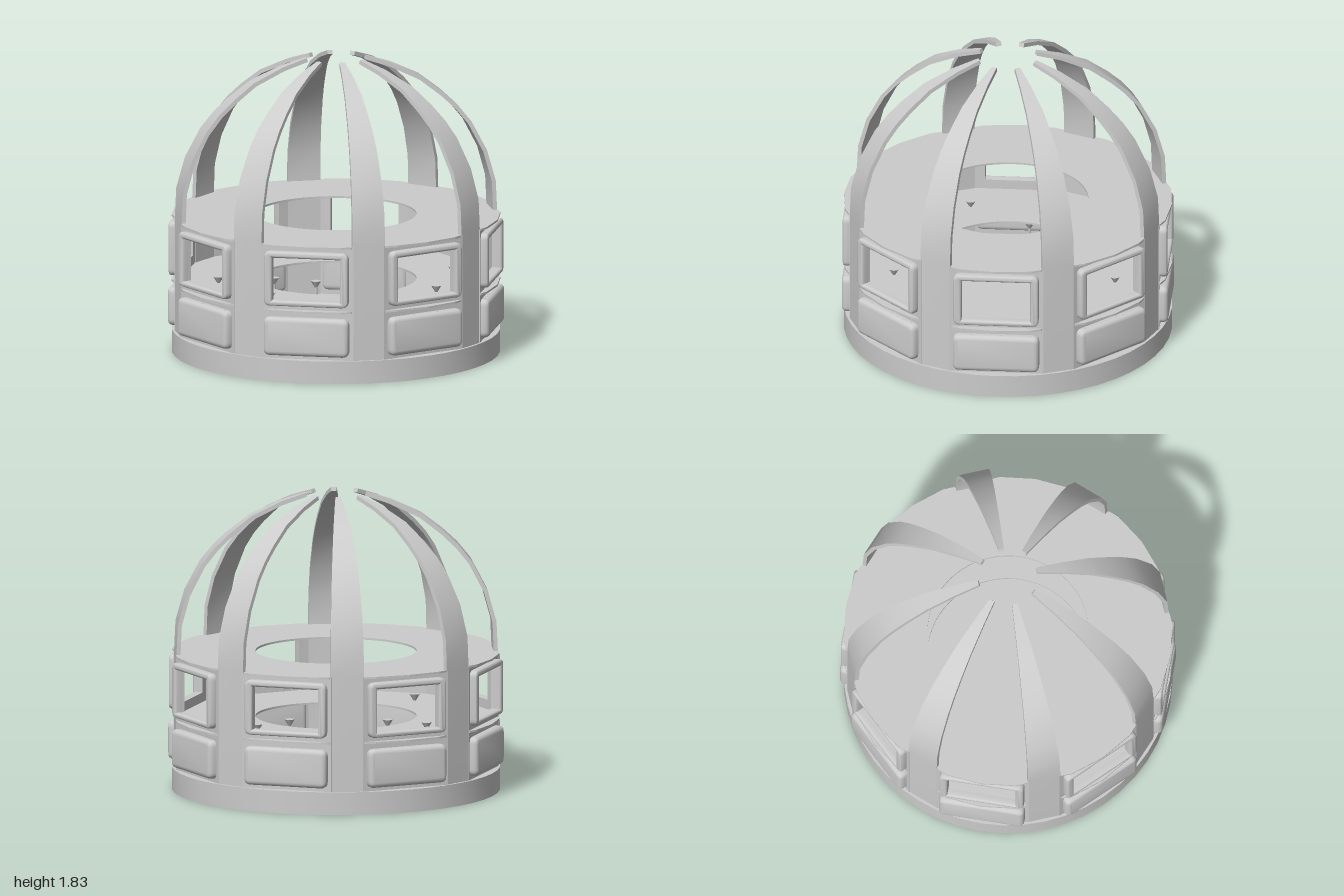
import * as THREE from 'three';
import { toCreasedNormals } from 'three/addons/utils/BufferGeometryUtils.js';

const SIDES = 8;
const STEP = (Math.PI * 2) / SIDES;
const FLOOR_HOLE = 0.49;

const material = new THREE.MeshStandardMaterial({ color: 0xcccccc, side: THREE.DoubleSide });

function part(name, geometry, parent) {
  const mesh = new THREE.Mesh(geometry, material);
  mesh.name = name;
  parent.add(mesh);
  return mesh;
}

// Rounded rectangle from half width and bottom/top heights
function roundedRect(target, hw, y0, y1, r) {
  target.moveTo(-hw + r, y0);
  target.lineTo(hw - r, y0);
  target.quadraticCurveTo(hw, y0, hw, y0 + r);
  target.lineTo(hw, y1 - r);
  target.quadraticCurveTo(hw, y1, hw - r, y1);
  target.lineTo(-hw + r, y1);
  target.quadraticCurveTo(-hw, y1, -hw, y1 - r);
  target.lineTo(-hw, y0 + r);
  target.quadraticCurveTo(-hw, y0, -hw + r, y0);
  return target;
}

function rect(target, hw, y0, y1) {
  target.moveTo(-hw, y0);
  target.lineTo(hw, y0);
  target.lineTo(hw, y1);
  target.lineTo(-hw, y1);
  target.closePath();
  return target;
}

function bevelled(shape, depth, size) {
  const g = new THREE.ExtrudeGeometry(shape, {
    depth: depth - size, bevelEnabled: true, bevelThickness: size, bevelSize: size,
    bevelOffset: -size, bevelSegments: 4, curveSegments: 5,
  });
  return toCreasedNormals(g, 0.6);
}

// Curved rib: rectangular section swept along a (radius, height) profile, tapering to the tip
function ribGeometry() {
  const profile = [
    [0.98, 0.13], [0.98, 0.85], [0.972, 1.03], [0.919, 1.22], [0.825, 1.4], [0.745, 1.5],
    [0.655, 1.585], [0.52, 1.69], [0.34, 1.775], [0.185, 1.825],
  ];
  const thickness = 0.025;
  const pos = [], index = [];
  profile.forEach(([r, y], i) => {
    const a = profile[Math.max(i - 1, 0)], b = profile[Math.min(i + 1, profile.length - 1)];
    const n = new THREE.Vector2(b[1] - a[1], a[0] - b[0]).normalize().multiplyScalar(thickness);
    const hw = 0.017 + ((r - 0.19) / 0.79) * 0.084;
    pos.push(-hw, y, r, hw, y, r, hw, y - n.y, r - n.x, -hw, y - n.y, r - n.x);
    if (i === 0) return;
    const p = (i - 1) * 4, q = i * 4;
    for (let k = 0; k < 4; k++) {
      const m = (k + 1) % 4;
      index.push(p + k, p + m, q + m, p + k, q + m, q + k);
    }
  });
  const e = (profile.length - 1) * 4;
  index.push(0, 2, 1, 0, 3, 2, e, e + 1, e + 2, e, e + 2, e + 3);
  const g = new THREE.BufferGeometry();
  g.setAttribute('position', new THREE.Float32BufferAttribute(pos, 3));
  g.setIndex(index);
  return toCreasedNormals(g, 0.6);
}

// Thin ring floor, projecting over the windows and drawn in behind the ribs
function deckGeometry() {
  const pts = [];
  for (let i = 0; i < SIDES; i++) {
    for (const [deg, r] of [[-17, 0.978], [-16, 0.99], [-12.5, 1.0], [0, 1.0], [12.5, 1.0], [16, 0.99], [17, 0.978]]) {
      const a = i * STEP + THREE.MathUtils.degToRad(deg);
      pts.push(new THREE.Vector2(r * Math.cos(a), r * Math.sin(a)));
    }
  }
  const shape = new THREE.Shape(pts);
  shape.holes.push(new THREE.Path().absarc(0, 0, FLOOR_HOLE, 0, Math.PI * 2, true));
  const g = new THREE.ExtrudeGeometry(shape, { depth: 0.012, bevelEnabled: false, curveSegments: 32 });
  return g.rotateX(-Math.PI / 2);
}

export function createModel() {
  const model = new THREE.Group();
  model.name = 'domedPavilion';

  // Base drum with a shallow round recess underneath
  const baseProfile = [
    [0, 0.06], [FLOOR_HOLE, 0.06], [FLOOR_HOLE, 0], [1, 0], [1, 0.14], [0, 0.14],
  ].map(([x, y]) => new THREE.Vector2(x, y));
  part('base', toCreasedNormals(new THREE.LatheGeometry(baseProfile, 48), 0.6), model);

  // Two ring floors
  const deck = deckGeometry();
  part('lowerDeck', deck, model).position.y = 0.434;
  part('upperDeck', deck, model).position.y = 0.836;

  // Shared bay geometry
  const wallShape = rect(new THREE.Shape(), 0.288, 0.13, 0.845);
  wallShape.holes.push(rect(new THREE.Path(), 0.21, 0.505, 0.77));
  const wall = new THREE.ExtrudeGeometry(wallShape, { depth: 0.02, bevelEnabled: false });

  const frameShape = roundedRect(new THREE.Shape(), 0.26, 0.472, 0.81, 0.04);
  frameShape.holes.push(rect(new THREE.Path(), 0.21, 0.505, 0.77));
  const frame = bevelled(frameShape, 0.048, 0.015);

  const panel = bevelled(roundedRect(new THREE.Shape(), 0.263, 0.163, 0.4, 0.04), 0.055, 0.028);
  const rivet = new THREE.BoxGeometry(0.014, 0.009, 0.02);
  const rib = ribGeometry();

  // Eight bays, each with a window, a cushion panel and a neighbouring rib
  for (let i = 0; i < SIDES; i++) {
    const bay = new THREE.Group();
    bay.name = 'bay';
    bay.rotation.y = i * STEP;
    model.add(bay);
    part('wall', wall, bay).position.z = 0.925;
    part('windowFrame', frame, bay).position.z = 0.942;
    part('lowerPanel', panel, bay).position.z = 0.941;
    for (let k = 0; k < 8; k++) {
      part('rivet', rivet, bay).position.set(-0.21 + k * 0.06, 0.396, 0.958);
    }
    part('rib', rib, model).rotation.y = (i + 0.5) * STEP;
  }

  // Furniture inside: low stools on the lower deck, taller pedestal stools beneath it
  const seat = new THREE.CylinderGeometry(0.032, 0.008, 0.04, 12);
  const post = new THREE.CylinderGeometry(0.009, 0.009, 0.12, 8);
  for (let i = 0; i < SIDES; i++) {
    const a = (i + 0.5) * STEP;
    part('lowStool', seat, model).position.set(0.73 * Math.sin(a), 0.466, 0.73 * Math.cos(a));
    for (const [r, shift] of [[0.6, 0], [0.78, 0.3]]) {
      const x = r * Math.sin(a + shift), z = r * Math.cos(a + shift);
      part('stoolPost', post, model).position.set(x, 0.2, z);
      part('stoolSeat', seat, model).position.set(x, 0.28, z);
    }
  }
  return model;
}
